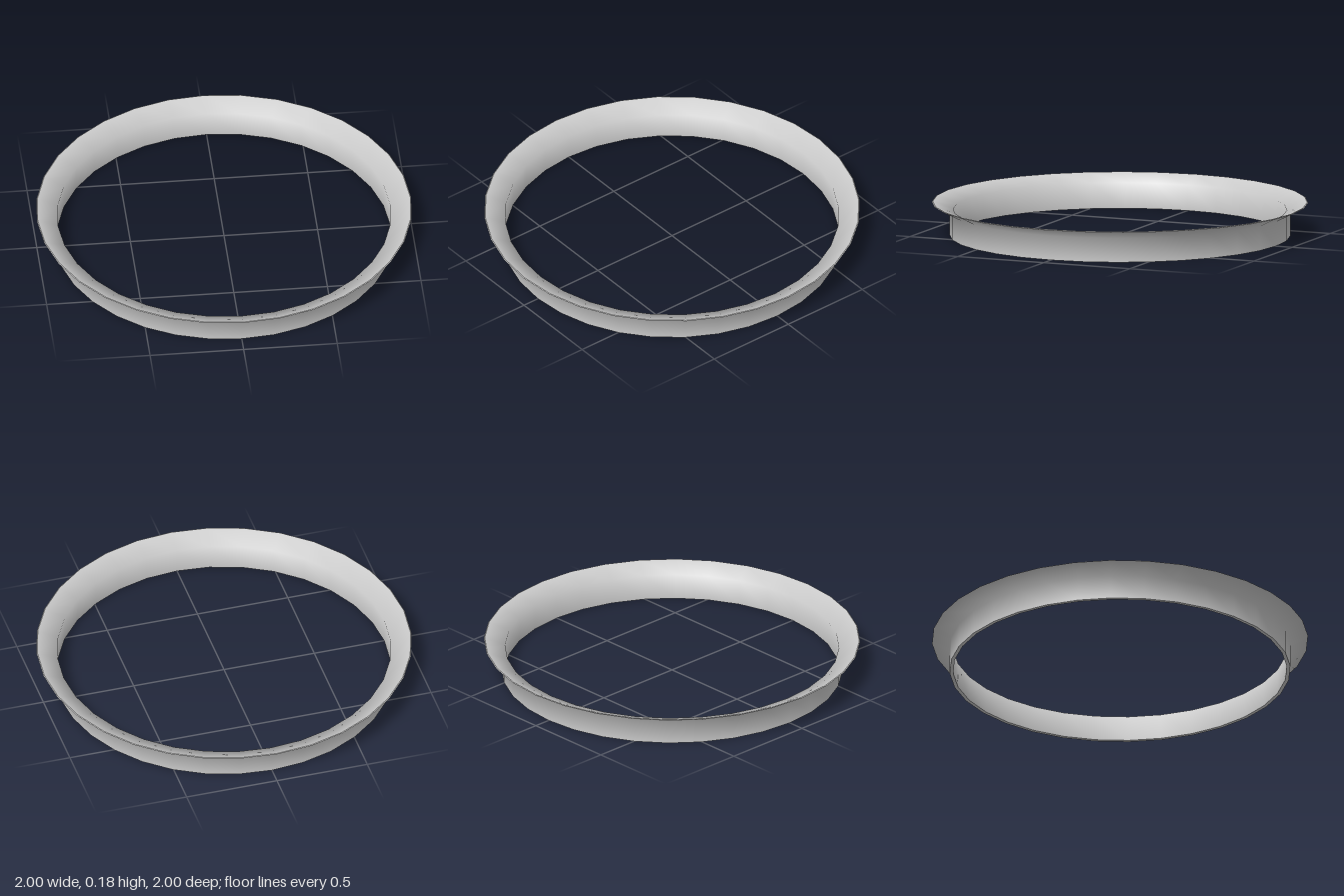
import * as THREE from 'three';

// Flanged ring: a short vertical collar with a lip flaring outwards at the top.
const SEGMENTS = 32;

// Cross-section corners as [radius, height]
const outerFoot = [0.906, 0], outerBend = [0.906, 0.13], lipOuter = [1, 0.177];
const lipInner = [0.995, 0.18], innerBend = [0.887, 0.138], innerFoot = [0.887, 0];

export function createModel() {
  const model = new THREE.Group();
  model.name = 'flangedRing';
  const material = new THREE.MeshStandardMaterial({ color: 0xcccccc });

  // Each strip is smooth along itself and meets the next at a sharp edge
  const addStrip = (name, ...profile) => {
    const points = profile.map(([r, y]) => new THREE.Vector2(r, y));
    const mesh = new THREE.Mesh(new THREE.LatheGeometry(points, SEGMENTS), material);
    mesh.name = name;
    model.add(mesh);
  };

  addStrip('outerWall', outerFoot, outerBend, lipOuter);
  addStrip('lipEdge', lipOuter, lipInner);
  addStrip('innerWall', lipInner, innerBend, innerFoot);
  addStrip('bottomEdge', innerFoot, outerFoot);

  return model;
}
